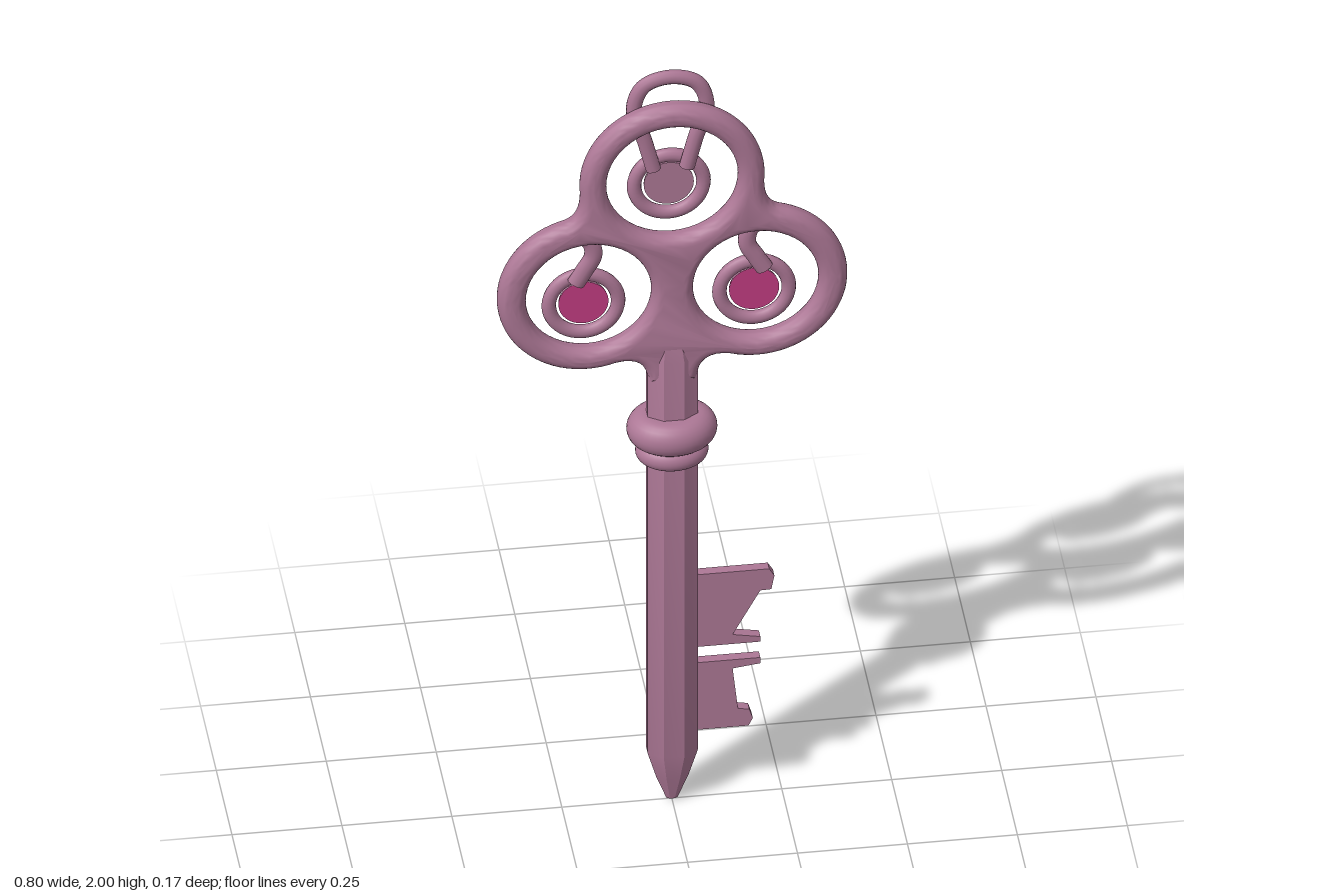
import * as THREE from 'three';
import { toCreasedNormals } from 'three/addons/utils/BufferGeometryUtils.js';

const mauve = new THREE.MeshStandardMaterial({ color: 0xad7896 });
mauve.name = 'mauve metal';
const magenta = new THREE.MeshStandardMaterial({ color: 0xc23c82 });
magenta.name = 'magenta gem';

const V2 = (x, y) => new THREE.Vector2(x, y);
const V3 = (x, y, z) => new THREE.Vector3(x, y, z);

function mesh(parent, name, geometry, material = mauve) {
  const m = new THREE.Mesh(geometry, material);
  m.name = name;
  parent.add(m);
  return m;
}

function arc(cx, cy, r, from, to, n) {
  return Array.from({ length: n + 1 }, (_, i) => {
    const a = THREE.MathUtils.degToRad(from + (to - from) * i / n);
    return V2(cx + r * Math.cos(a), cy + r * Math.sin(a));
  });
}

const fillet = (a, b, c) => new THREE.QuadraticBezierCurve(a, b, c).getPoints(8).slice(1, -1);

// Three fused round-edged rings with filleted junctions
function trefoilGeometry() {
  const side = arc(0.193, 1.425, 0.205, -108, 75, 40);
  const top = arc(0, 1.72, 0.21, -5, 90, 20);
  const neck = V2(0.055, 1.17);
  const half = [
    neck, ...fillet(neck, V2(0.06, 1.245), side[0]), ...side,
    ...fillet(side[side.length - 1], V2(0.208, 1.635), top[0]), ...top,
  ];
  const other = half.slice(0, -1).reverse().map(p => V2(-p.x, p.y));
  const shape = new THREE.Shape([...half, ...other]);
  for (const [x, y, r] of [[0, 1.72, 0.15], [0.19, 1.42, 0.143], [-0.19, 1.42, 0.143]]) {
    shape.holes.push(new THREE.Path(arc(x, y, r, 360, 0, 48).slice(0, -1)));
  }
  const g = new THREE.ExtrudeGeometry(shape, {
    depth: 0.004, bevelThickness: 0.026, bevelSize: 0.027, bevelOffset: -0.027, bevelSegments: 6,
  });
  return toCreasedNormals(g.translate(0, 0, 0.001), 0.8);
}

// Eight-sided shaft with a tapered point
function shaftGeometry() {
  const profile = [[0, 0], [0.014, 0.005], [0.04, 0.07], [0.0617, 0.14], [0.0617, 1.23], [0.04, 1.3], [0, 1.31]];
  const g = new THREE.LatheGeometry(profile.map(p => V2(...p)), 8, Math.PI / 8);
  return toCreasedNormals(g.scale(1, 1, 0.66), 0.3);
}

// Oval collar bead with a rounded rim
function beadGeometry(radius, halfHeight) {
  const rim = arc(radius - halfHeight, 0, halfHeight, -90, 90, 12);
  const g = new THREE.LatheGeometry([V2(0.02, -halfHeight), ...rim, V2(0.02, halfHeight)], 40);
  return g.scale(1, 1, 0.83);
}

function bitGeometry(points) {
  const g = new THREE.ExtrudeGeometry(new THREE.Shape(points.map(p => V2(...p))), {
    depth: 0.024, bevelEnabled: false,
  });
  return g.translate(0, 0, -0.015);
}

// Round setting with a domed stone facing the back
function medallion(name, x, y, stoneColor) {
  const group = new THREE.Group();
  group.name = name;
  group.position.set(x, y, -0.048);
  mesh(group, 'settingRing', new THREE.TorusGeometry(0.079, 0.0165, 12, 40)).scale.z = 0.85;
  const split = Math.PI * 0.36;
  const dome = (from, length) => new THREE.SphereGeometry(0.057, 24, 14, 0, Math.PI, from, length)
    .rotateY(Math.PI).scale(1, 1, 0.7);
  mesh(group, 'stoneUpper', dome(0, split));
  mesh(group, 'stoneLower', dome(split, Math.PI - split), stoneColor);
  mesh(group, 'stoneFace', new THREE.CircleGeometry(0.057, 32), stoneColor);
  return group;
}

export function createModel() {
  const key = new THREE.Group();
  key.name = 'ornateKey';

  mesh(key, 'trefoilBow', trefoilGeometry());
  mesh(key, 'shaft', shaftGeometry());
  mesh(key, 'upperCollar', beadGeometry(0.103, 0.042)).position.y = 1.032;
  mesh(key, 'lowerCollar', beadGeometry(0.083, 0.025)).position.y = 0.97;

  // Teeth
  mesh(key, 'upperBit', bitGeometry([
    [0.04, 0.42], [0.2, 0.42], [0.2, 0.434], [0.137, 0.446], [0.2, 0.562],
    [0.225, 0.563], [0.232, 0.6], [0.22, 0.62], [0.04, 0.62],
  ]));
  mesh(key, 'lowerBit', bitGeometry([
    [0.04, 0.19], [0.173, 0.19], [0.183, 0.21], [0.175, 0.235], [0.149, 0.24],
    [0.137, 0.352], [0.2, 0.36], [0.2, 0.376], [0.04, 0.376],
  ]));

  // Hanging loop and top medallion
  const loop = new THREE.CatmullRomCurve3([
    V3(-0.038, 1.73, 0), V3(-0.058, 1.81, 0), V3(-0.083, 1.9, 0), V3(-0.06, 1.962, 0), V3(0, 1.982, 0),
    V3(0.06, 1.962, 0), V3(0.083, 1.9, 0), V3(0.058, 1.81, 0), V3(0.038, 1.73, 0),
  ]);
  const bail = mesh(key, 'hangingLoop', new THREE.TubeGeometry(loop, 64, 0.018, 10));
  bail.scale.z = 0.8;
  bail.position.z = -0.026;
  key.add(medallion('topMedallion', 0, 1.672, mauve));

  // Curled hooks and side medallions
  for (const [side, s] of [['left', 1], ['right', -1]]) {
    const curl = new THREE.CatmullRomCurve3([
      V3(s * 0.215, 1.565, 0), V3(s * 0.183, 1.545, 0), V3(s * 0.175, 1.505, 0),
      V3(s * 0.195, 1.465, 0), V3(s * 0.215, 1.43, 0),
    ]);
    const hook = mesh(key, side + 'Hook', new THREE.TubeGeometry(curl, 32, 0.021, 10));
    hook.scale.z = 0.7;
    hook.position.z = -0.027;
    key.add(medallion(side + 'Medallion', s * 0.194, 1.36, magenta));
  }
  return key;
}
